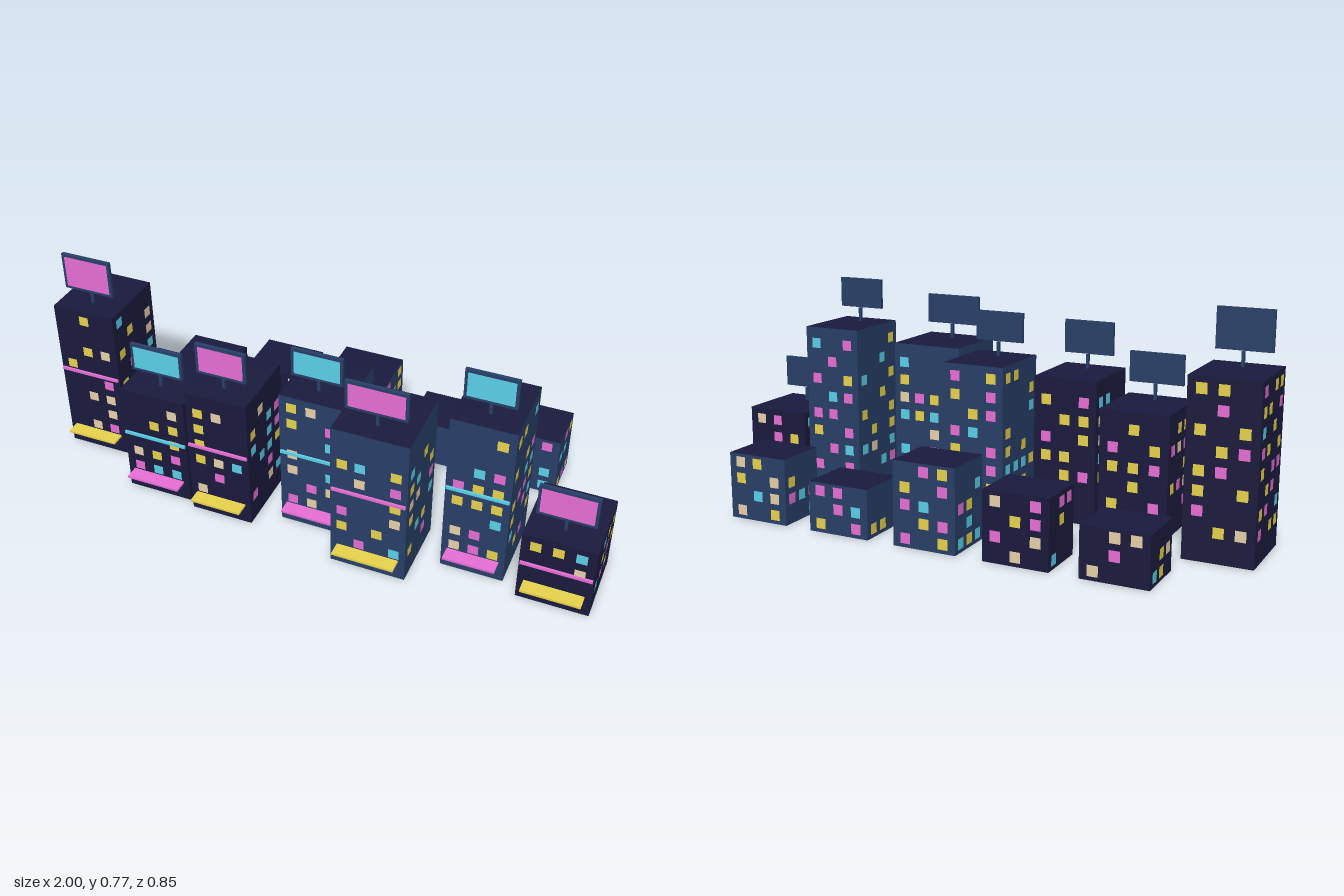
import * as THREE from 'three';
import { mergeGeometries } from 'three/addons/utils/BufferGeometryUtils.js';

const mat = (name, color, side = THREE.FrontSide) => {
  const m = new THREE.MeshStandardMaterial({ color, side });
  m.name = name;
  return m;
};

const M = {
  dark: mat('dark indigo', 0x1a1a3e, THREE.DoubleSide),
  blue: mat('slate blue', 0x283f68, THREE.DoubleSide),
  y: mat('yellow', 0xe8d44d),
  t: mat('teal', 0x5ad0e8),
  p: mat('pink', 0xe86fd6),
  b: mat('beige', 0xe6d0a8),
};

// Seeded random for the windows without a set pattern
let seed = 7;
const rand = () => (seed = (seed * 16807) % 2147483647) / 2147483647;

const box = (name, material, w, h, d, x, y, z) => {
  const m = new THREE.Mesh(new THREE.BoxGeometry(w, h, d), material);
  m.name = name;
  m.position.set(x, y, z);
  return m;
};

// Some faces of a box: 0 +x, 1 -x, 2 top, 3 bottom, 4 +z, 5 -z
function boxFaces(name, material, w, h, d, faces) {
  const g = new THREE.BoxGeometry(w, h, d).translate(0, h / 2, 0);
  const index = Array.from(g.index.array);
  g.setIndex(faces.flatMap((f) => index.slice(f * 6, f * 6 + 6)));
  const m = new THREE.Mesh(g, material);
  m.name = name;
  return m;
}

const WINDOW = 0.036;

// A random window pattern, rows from the bottom up
function randomPattern(cols, rows) {
  const row = () => Array.from({ length: cols }, () =>
    rand() < 0.55 ? 'yyypptttb'[Math.floor(rand() * 9)] : '.').join('');
  return Array.from({ length: rows }, row).join(' ');
}

// Lit windows lying flush on the four walls, merged by colour
function addWindows(group, w, h, d, y0, step, patterns) {
  const byColour = { y: [], t: [], p: [], b: [] };
  const rows = Math.floor((h - 0.03 - y0) / step + 1.001);
  const walls = [
    ['front', 0, w, d], ['right', Math.PI / 2, d, w],
    ['back', Math.PI, w, d], ['left', -Math.PI / 2, d, w],
  ];
  for (const [side, angle, width, depth] of walls) {
    const cols = width > 0.25 ? 4 : 3;
    const gap = width / (cols + 0.3);
    const pattern = patterns[side] || randomPattern(cols, rows);
    pattern.split(' ').forEach((row, r) => [...row].forEach((c, i) => {
      if (c === '.') return;
      byColour[c].push(new THREE.PlaneGeometry(WINDOW, WINDOW)
        .translate((i - (cols - 1) / 2) * gap, y0 + r * step, depth / 2 + 0.001)
        .rotateY(angle));
    }));
  }
  for (const [c, list] of Object.entries(byColour)) {
    if (!list.length) continue;
    const m = new THREE.Mesh(mergeGeometries(list), M[c]);
    m.name = M[c].name + 'Windows';
    group.add(m);
  }
}

// Open-bottomed block with a dark roof
function block(name, x0, x1, z0, z1, h, wall, y0, step, patterns) {
  const g = new THREE.Group();
  g.name = name;
  const w = x1 - x0, d = z1 - z0;
  g.position.set((x0 + x1) / 2, 0, (z0 + z1) / 2);
  g.add(boxFaces('walls', M[wall], w, h, d, [0, 1, 4, 5]));
  g.add(boxFaces('roof', M.dark, w, h, d, [2]));
  addWindows(g, w, h, d, y0, step, patterns);
  return g;
}

// Neon strip, awning and rooftop billboard on a front-row tower
function addShopfront(g, w, h, d, neon, awning, stripY, signY0, signY1) {
  const f = d / 2;
  g.add(box('neonStrip', M[neon], w * 0.97, 0.01, 0.012, 0, stripY, f + 0.002));
  g.add(box('awning', M[awning], w * 0.82, 0.008, 0.053, 0, 0.074, f + 0.0235));
  const sw = w * 0.8, sh = signY1 - signY0, sy = (signY0 + signY1) / 2;
  const sz = f - 0.06;
  g.add(box('signPost', M.blue, 0.01, signY0 - h, 0.01, 0, (h + signY0) / 2, sz - 0.012));
  g.add(box('signFrame', M.blue, sw, sh, 0.012, 0, sy, sz));
  const screen = new THREE.Mesh(new THREE.PlaneGeometry(sw - 0.02, sh - 0.02), M[neon]);
  screen.name = 'signScreen';
  screen.position.set(0, sy, sz + 0.007);
  g.add(screen);
}

export function createModel() {
  const city = new THREE.Group();
  city.name = 'cityStreet';

  // x0, x1, z0, z1, height, wall, neon, awning, strip y, sign bottom, sign top, window patterns
  const towers = [
    [-1.0, -0.767, -0.115, 0.149, 0.59, 'dark', 'p', 'y', 0.33, 0.64, 0.775,
      { front: '.bp ..b .bb ..p y.. .yb ... .y.', right: '.tyt ..pb .ttp y... .p.t y..b .y.b t...',
        back: '.yb p.. y.y yp. .yp y.y .p. yy.', left: 'p.yy yp.t .yp. y.pp py.y t.y. yy.p p.yy' }],
    [-0.67, -0.43, 0.024, 0.292, 0.42, 'dark', 't', 'p', 0.24, 0.475, 0.58,
      { front: 'ptt byp ..y .yy ..b', back: 'y.p .y. yyp p.y .y.' }],
    [-0.405, -0.18, 0.052, 0.318, 0.5, 'dark', 'p', 'y', 0.285, 0.55, 0.665,
      { front: 'b.. .p. ybt y.. y.. yb.', back: 'y.. .yp yy. p.y .yy y.p' }],
    [-0.095, 0.132, -0.019, 0.248, 0.53, 'blue', 't', 'p', 0.3, 0.58, 0.685,
      { front: 'pb. .pb b.t b.. ..t y.p yb.', back: 'p.y .pp y.p pt. .yp y.p p.y' }],
    [0.14, 0.402, 0.107, 0.374, 0.555, 'blue', 'p', 'y', 0.315, 0.605, 0.71,
      { front: '.p.t y.y. p..b ...y .b.p yt.y ....', right: 'y.p. .ty. y..t bb.p yt.y t.y. ....' }],
    [0.486, 0.702, -0.013, 0.254, 0.61, 'blue', 't', 'p', 0.34, 0.66, 0.767,
      { front: 'bpy bp. ..t yyy pyy .tp ... ..y', right: '.yp. t..y y.pt yppy ..tt y.yp .... yy.t',
        back: 'p.p .pt y.p pp. .tp p.y .p. t.p' }],
    [0.757, 1.0, 0.032, 0.299, 0.27, 'dark', 'p', 'y', 0.153, 0.32, 0.435,
      { front: '... ..b yyt', right: 'tpb. .ypy .tyy', back: 'p.b .py bp.' }],
  ];
  towers.forEach(([x0, x1, z0, z1, h, wall, neon, awning, strip, s0, s1, patterns], i) => {
    const g = block('tower' + (i + 1), x0, x1, z0, z1, h, wall, 0.101, 0.0645, patterns);
    addShopfront(g, x1 - x0, h, z1 - z0, neon, awning, strip, s0, s1);
    city.add(g);
  });

  // Low back row: x0, height, wall, patterns
  const backRow = [
    [-0.775, 0.172, 'dark', { front: 't.b b.p p.y', back: 'b.. .p. .bb' }],
    [-0.45, 0.235, 'dark', { front: 'p.y .t. .yp t.b', back: '.b. p.b .yp b.p' }],
    [-0.128, 0.287, 'blue', { right: 'ypb p.. t.p .yy p.y', back: 'p.y .yp pt. y.p .py' }],
    [0.197, 0.172, 'blue', { back: 'y.p .pt pp.' }],
    [0.521, 0.231, 'blue', { front: 'y.t .pt b.. .yp', right: 'ypb ... tt. .py', back: 'b.y .tb y.b by.' }],
  ];
  backRow.forEach(([x0, h, wall, patterns], i) => {
    city.add(block('backBlock' + (i + 1), x0, x0 + 0.226, -0.421, -0.233, h, wall,
      0.031, 0.0572, patterns));
  });

  return city;
}
